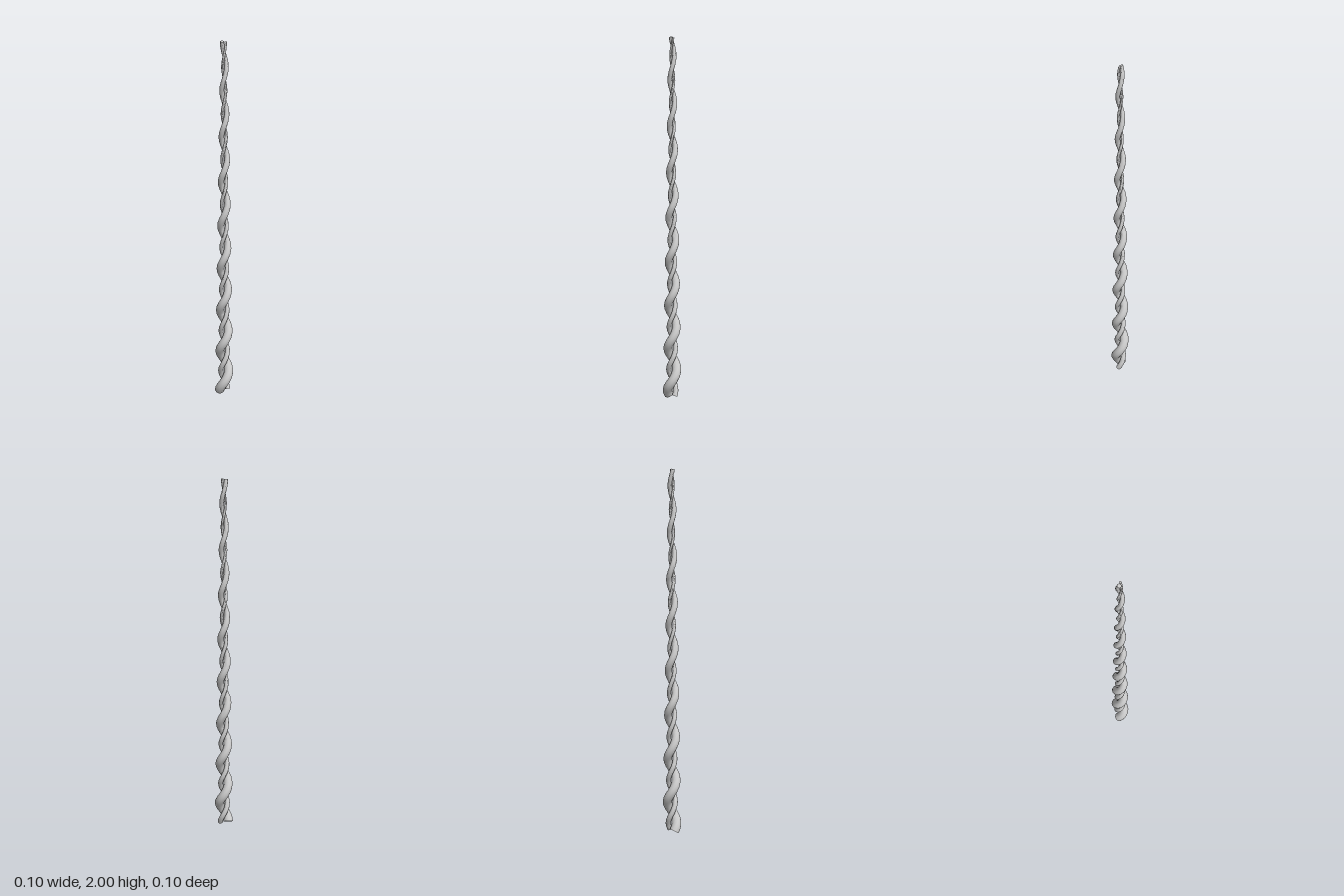
import * as THREE from 'three';
import { toCreasedNormals } from 'three/addons/utils/BufferGeometryUtils.js';

const TURNS = 8, STEPS = 20 * TURNS, SIDES = 10;
const BOTTOM = 0.014, TOP = 1.998, TAPER = 0.4;

// Centre of a strand at t (0 bottom, 1 top): a helix that narrows upwards
function helixPoint(t, radius, phase) {
  const a = t * TURNS * Math.PI * 2 + phase;
  const r = radius * THREE.MathUtils.lerp(1, TAPER, t);
  return new THREE.Vector3(-r * Math.cos(a), THREE.MathUtils.lerp(BOTTOM, TOP, t), r * Math.sin(a));
}

// Sweep a shrinking round section along the helix and close both ends
function strandGeometry(helixRadius, thickness, phase) {
  const pos = [], index = [];
  for (let i = 0; i <= STEPS; i++) {
    const t = i / STEPS, a = t * TURNS * Math.PI * 2 + phase;
    const c = helixPoint(t, helixRadius, phase);
    const T = helixPoint(t + 1e-4, helixRadius, phase).sub(helixPoint(t - 1e-4, helixRadius, phase)).normalize();
    const N = new THREE.Vector3(-Math.cos(a), 0, Math.sin(a));
    N.addScaledVector(T, -N.dot(T)).normalize();
    const B = new THREE.Vector3().crossVectors(T, N);
    const r = thickness * THREE.MathUtils.lerp(1, TAPER, t);
    for (let j = 0; j < SIDES; j++) {
      const q = (j / SIDES) * Math.PI * 2;
      const p = c.clone().addScaledVector(N, r * Math.cos(q)).addScaledVector(B, r * Math.sin(q));
      pos.push(p.x, p.y, p.z);
    }
  }
  const start = pos.length / 3, end = start + 1, last = STEPS * SIDES;
  pos.push(...helixPoint(0, helixRadius, phase).toArray(), ...helixPoint(1, helixRadius, phase).toArray());
  for (let j = 0; j < SIDES; j++) {
    const k = (j + 1) % SIDES;
    for (let i = 0; i < STEPS; i++) {
      const a = i * SIDES + j, b = i * SIDES + k;
      index.push(a, b, a + SIDES, b, b + SIDES, a + SIDES);
    }
    index.push(start, k, j, end, last + j, last + k);
  }
  const g = new THREE.BufferGeometry();
  g.setAttribute('position', new THREE.Float32BufferAttribute(pos, 3));
  g.setIndex(index);
  return toCreasedNormals(g, Math.PI / 3);
}

export function createModel() {
  const group = new THREE.Group();
  group.name = 'twistedStem';
  const material = new THREE.MeshStandardMaterial({ color: 0xcccccc });
  const addStrand = (name, helixRadius, thickness, phase) => {
    const mesh = new THREE.Mesh(strandGeometry(helixRadius, thickness, phase), material);
    mesh.name = name;
    group.add(mesh);
  };
  // Thick strand with a thinner one wound opposite it
  addStrand('thickStrand', 0.026, 0.027, 0);
  addStrand('thinStrand', 0.02, 0.015, Math.PI);
  return group;
}
